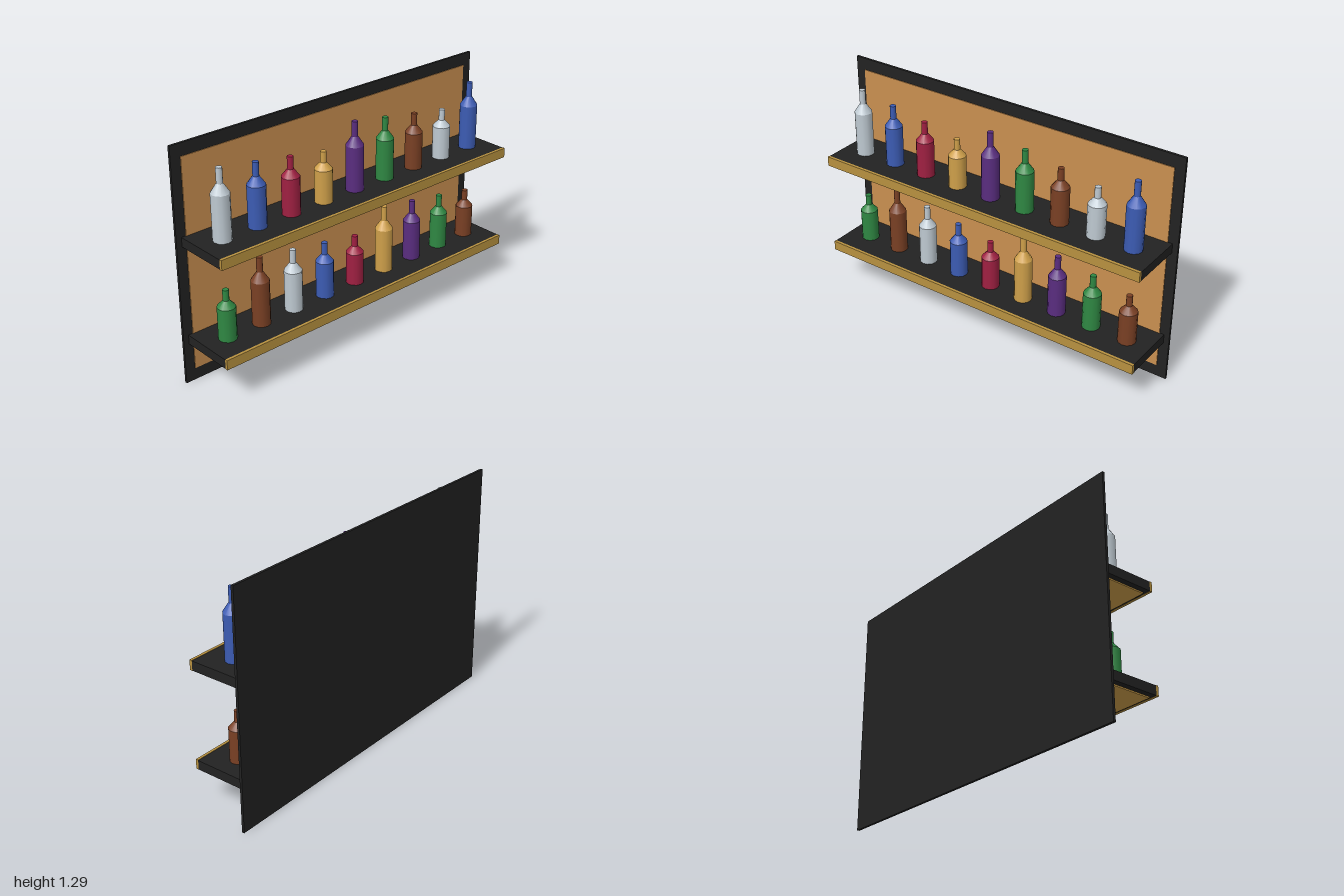
import * as THREE from 'three';

const paint = (name, color) => {
  const m = new THREE.MeshStandardMaterial({ color });
  m.name = name;
  return m;
};

export function createModel() {
  const model = new THREE.Group();
  model.name = 'bottleShelf';

  const black = paint('black', 0x222222);
  const wood = paint('wood', 0xc98f50);
  const gold = paint('gold', 0xb8913f);
  const amber = paint('amber', 0xcfa04a);
  const glass = [
    paint('clear', 0xbfcad2), paint('blue', 0x3c5cb4), paint('red', 0xa02042), amber,
    paint('purple', 0x5a2d80), paint('green', 0x2f8843), paint('brown', 0x7a4024),
  ];

  // box given by its lower and upper corners
  const box = (parent, name, material, [x0, y0, z0], [x1, y1, z1]) => {
    const mesh = new THREE.Mesh(new THREE.BoxGeometry(x1 - x0, y1 - y0, z1 - z0), material);
    mesh.position.set((x0 + x1) / 2, (y0 + y1) / 2, (z0 + z1) / 2);
    mesh.name = name;
    parent.add(mesh);
  };

  // wall panel with a wooden inset
  box(model, 'backBoard', black, [-1, 0, -0.164], [1, 1.286, -0.15]);
  box(model, 'woodPanel', wood, [-0.945, 0.067, -0.151], [0.945, 1.22, -0.146]);

  // bottle: body, tapered shoulder and neck, in proportion to its height
  const R = 0.048, r = 0.0165;
  const makeBottle = (height, material) => {
    const bottle = new THREE.Group();
    bottle.name = 'bottle';
    const parts = [
      ['body', R, R, 0, 0.656],
      ['shoulder', r, R, 0.656, 0.785],
      ['neck', r, r, 0.785, 1],
    ];
    for (const [name, top, bottom, from, to] of parts) {
      const h = (to - from) * height;
      const mesh = new THREE.Mesh(new THREE.CylinderGeometry(top, bottom, h, 12), material);
      mesh.position.y = from * height + h / 2;
      mesh.name = name;
      bottle.add(mesh);
    }
    return bottle;
  };

  // two shelves, each with a front trim, an underside strip and nine bottles
  const heights = [0.375, 0.341, 0.307, 0.273];
  const rows = [
    { name: 'lowerShelf', y: 0.27, colour: 5, height: 3 },
    { name: 'upperShelf', y: 0.811, colour: 0, height: 0 },
  ];
  for (const row of rows) {
    const shelf = new THREE.Group();
    shelf.name = row.name;
    shelf.position.y = row.y;
    box(shelf, 'board', black, [-0.97, -0.051, -0.15], [0.97, 0, 0.15]);
    box(shelf, 'frontTrim', gold, [-0.97, -0.052, 0.15], [0.97, 0.002, 0.165]);
    box(shelf, 'undersideStrip', amber, [-0.94, -0.058, -0.14], [0.94, -0.05, 0.134]);
    for (let i = 0; i < 9; i++) {
      const bottle = makeBottle(heights[(i + row.height) % 4], glass[(i + row.colour) % 7]);
      bottle.position.x = (i - 4) * 0.21;
      shelf.add(bottle);
    }
    model.add(shelf);
  }
  return model;
}
